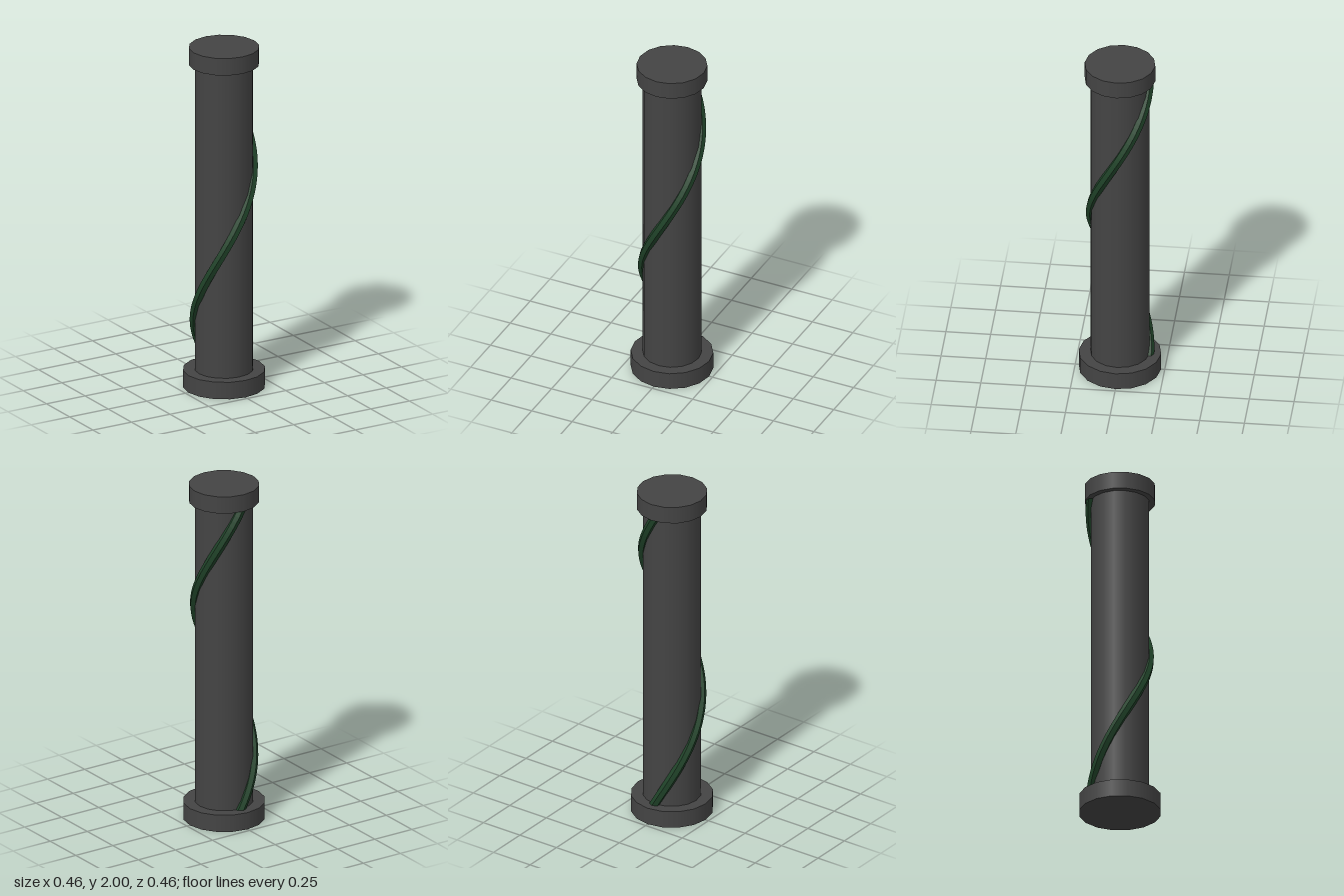
import * as THREE from 'three';

const stone = new THREE.MeshStandardMaterial({ color: 0x444444 });
const leaf = new THREE.MeshStandardMaterial({ color: 0x1f4228, flatShading: true });

// Vine path: one full turn around the shaft, starting and ending at the back
class Helix extends THREE.Curve {
  constructor(radius, bottom, top) {
    super();
    Object.assign(this, { radius, bottom, top });
  }
  getPoint(t, target = new THREE.Vector3()) {
    const y = THREE.MathUtils.lerp(this.bottom, this.top, t);
    const a = (2 * Math.PI * (y - 0.1)) / 1.8;
    return target.set(-this.radius * Math.sin(a), y, -this.radius * Math.cos(a));
  }
}

export function createModel() {
  const column = new THREE.Group();
  column.name = 'column';

  const addDrum = (name, radius, bottom, top) => {
    const mesh = new THREE.Mesh(new THREE.CylinderGeometry(radius, radius, top - bottom, 16), stone);
    mesh.name = name;
    mesh.position.y = (bottom + top) / 2;
    column.add(mesh);
  };
  addDrum('base', 0.23, 0, 0.1);
  addDrum('shaft', 0.164, 0.1, 1.9);
  addDrum('capital', 0.197, 1.9, 2);

  // Vine, its ends sunk into the base and the capital
  const vine = new THREE.Mesh(
    new THREE.TubeGeometry(new Helix(0.163, 0.08, 1.92), 64, 0.028, 6), leaf);
  vine.name = 'vine';
  column.add(vine);

  return column;
}
